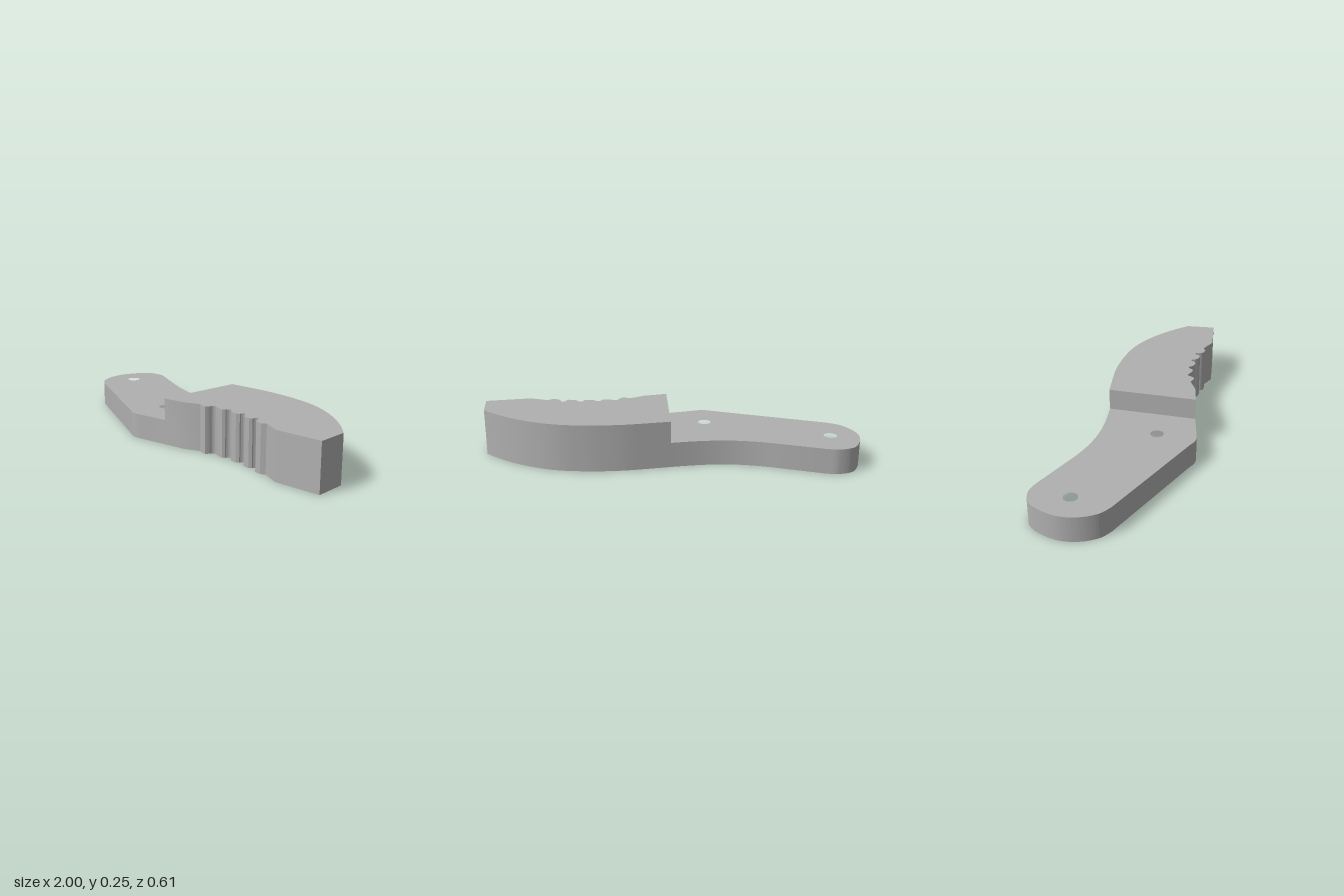
import * as THREE from 'three';
import { toCreasedNormals } from 'three/addons/utils/BufferGeometryUtils.js';

const steel = new THREE.MeshStandardMaterial({ color: 0xb0b0b0 });
steel.name = 'plain grey';

// Extrude a plan outline (shape x, y = model x, z) upward from the ground
function plate(name, shape, height) {
  const geo = new THREE.ExtrudeGeometry(shape, { depth: height, bevelEnabled: false, curveSegments: 20 });
  geo.rotateX(Math.PI / 2).translate(0, height, 0);
  const mesh = new THREE.Mesh(toCreasedNormals(geo, 0.35), steel);
  mesh.name = name;
  return mesh;
}

const spline = (shape, pts) => shape.splineThru(pts.map(([x, z]) => new THREE.Vector2(x, z)));

function handleShape() {
  const s = new THREE.Shape();
  s.moveTo(-0.015, -0.227);
  s.bezierCurveTo(-0.2, -0.185, -0.34, -0.168, -0.535, -0.222);
  s.lineTo(-0.80, -0.300);
  // rounded end
  spline(s, [[-0.865, -0.306], [-0.94, -0.275], [-0.982, -0.2], [-1, -0.105],
    [-0.98, -0.015], [-0.93, 0.06], [-0.865, 0.098]]);
  s.lineTo(-0.245, 0.29);
  s.quadraticCurveTo(-0.195, 0.316, -0.14, 0.293);
  s.lineTo(0.017, 0.245);
  s.closePath();
  // pivot holes
  for (const [x, z] of [[-0.85, -0.105], [-0.195, 0.098]]) {
    s.holes.push(new THREE.Path().absarc(x, z, 0.035, 0, Math.PI * 2, true));
  }
  return s;
}

function jawShape() {
  const s = new THREE.Shape();
  s.moveTo(-0.015, -0.227);
  // curved back, then the blunt nose
  spline(s, [[0.1, -0.253], [0.22, -0.278], [0.34, -0.29], [0.433, -0.291], [0.53, -0.285],
    [0.62, -0.266], [0.715, -0.231], [0.807, -0.184], [0.9, -0.122], [0.975, -0.06]]);
  s.lineTo(1, 0.1);
  s.lineTo(0.765, 0.15);
  s.lineTo(0.668, 0.12);
  // gripping teeth: [tooth centre x, tooth z, z of the notch beyond it]
  const teeth = [[0.63, 0.137, 0.094], [0.535, 0.128, 0.094], [0.437, 0.128, 0.104],
    [0.343, 0.138, 0.125]];
  for (const [x, z, notch] of teeth) {
    s.lineTo(x + 0.017, z);
    s.lineTo(x - 0.016, z - 0.001);
    s.quadraticCurveTo(x - 0.036, z - 0.012, x - 0.04, notch + 0.005);
    s.lineTo(x - 0.052, notch);
    s.quadraticCurveTo(x - 0.066, notch + 0.008, x - 0.066, notch + 0.022);
  }
  s.lineTo(0.264, 0.17);
  s.lineTo(0.24, 0.17);
  s.lineTo(0.213, 0.163);
  s.lineTo(0.14, 0.208);
  s.lineTo(0.017, 0.245);
  s.closePath();
  return s;
}

export function createModel() {
  const group = new THREE.Group();
  group.name = 'jawLever';
  group.add(plate('handle', handleShape(), 0.133));
  group.add(plate('toothedJaw', jawShape(), 0.248));
  return group;
}
